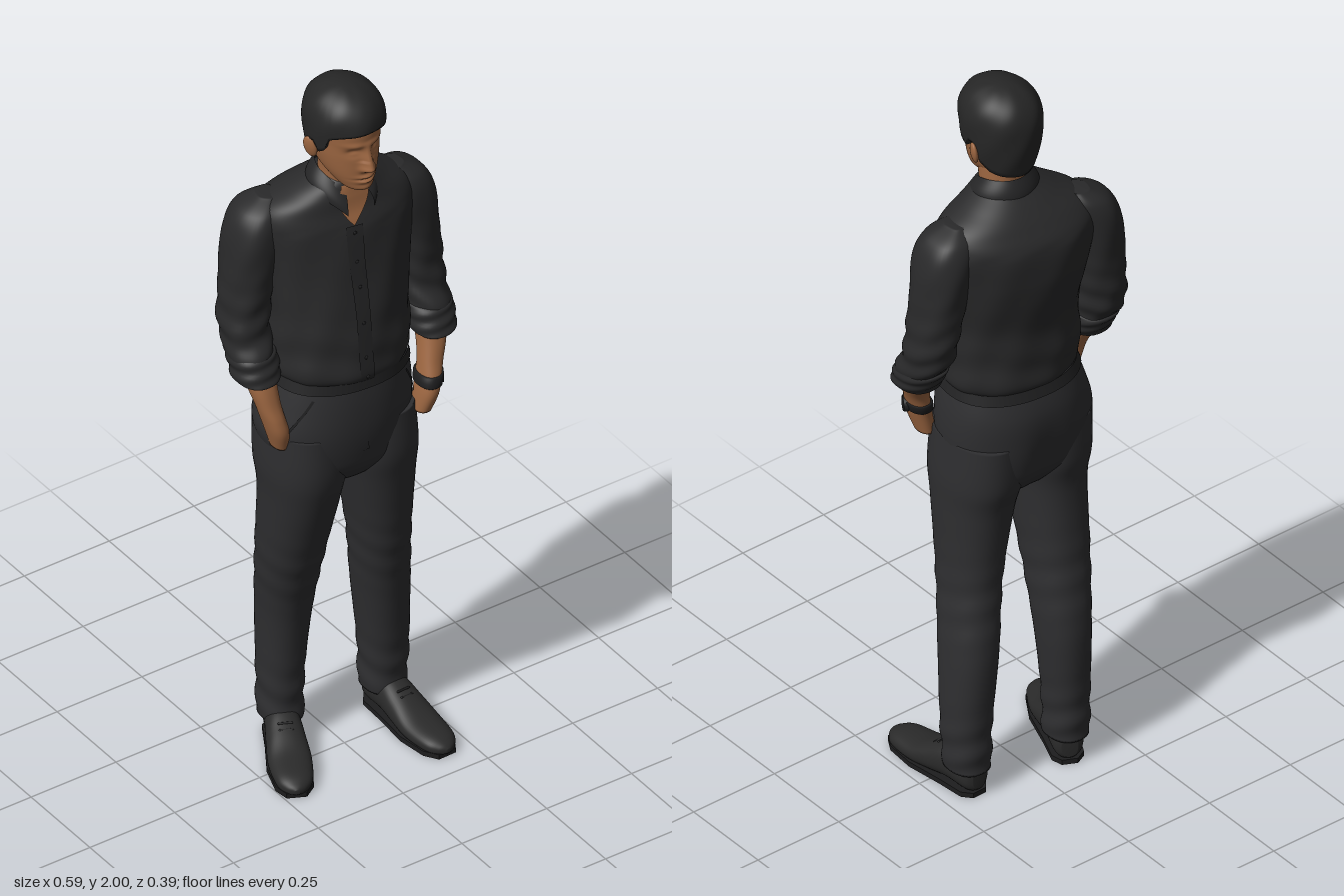
import * as THREE from 'three';

const mat = (name, color, side = THREE.FrontSide) => {
  const m = new THREE.MeshStandardMaterial({ color, side });
  m.name = name;
  return m;
};

// Smooth surface from a rule fn(u, v); u runs around, v runs up.
function grid(fn, nu, nv, wrap) {
  const pos = [], idx = [], cols = wrap ? nu : nu + 1;
  for (let j = 0; j <= nv; j++)
    for (let i = 0; i < cols; i++) pos.push(...fn(i / nu, j / nv, j));
  for (let j = 0; j < nv; j++)
    for (let i = 0; i < nu; i++) {
      const a = j * cols + i, b = j * cols + ((i + 1) % cols), c = a + cols, d = b + cols;
      idx.push(a, c, b, b, c, d);
    }
  const g = new THREE.BufferGeometry();
  g.setAttribute('position', new THREE.Float32BufferAttribute(pos, 3));
  g.setIndex(idx);
  g.computeVertexNormals();
  return g;
}

// Cross-section keys are [y, cx, cz, rx, rz, yaw]; t counts in keys.
function sample(keys, t) {
  const i = Math.min(Math.floor(t), keys.length - 2), f = t - i;
  const k = n => keys[Math.max(0, Math.min(keys.length - 1, n))];
  return [0, 1, 2, 3, 4, 5].map(c => {
    const [p, q, r, s] = [i - 1, i, i + 1, i + 2].map(n => k(n)[c] || 0);
    return q + 0.5 * f * (r - p + f * (2 * p - 5 * q + 4 * r - s + f * (3 * (q - r) + s - p)));
  });
}

function point(keys, t, a, off = 0, scale = 1, n = 2.25) {
  const [y, cx, cz, rx, rz, yaw] = sample(keys, t);
  const e = v => Math.sign(v) * Math.abs(v) ** (2 / n);
  const x = (rx + off) * e(Math.cos(a)) * scale, z = (rz + off) * e(Math.sin(a)) * scale;
  return [cx + x * Math.cos(yaw) - z * Math.sin(yaw), y, cz + x * Math.sin(yaw) + z * Math.cos(yaw)];
}

// Closed body through the keys, with optional folds(y, angle) and sculpt(point).
function loft(keys, { nu = 40, per = 6, folds = () => 0, sculpt = p => p, n } = {}) {
  const nv = (keys.length - 1) * per + 2;
  return grid((u, v, j) => {
    const t = Math.max(0, Math.min(j - 1, nv - 2)) / per, a = u * Math.PI * 2;
    const off = folds(sample(keys, t)[0], a);
    return sculpt(point(keys, t, a, off, j === 0 || j === nv ? 0 : 1, n));
  }, nu, nv, true);
}

// Thin plate lying on a lofted body, angles given as a function of v.
const patch = (keys, t0, t1, a0, a1, off, nu = 6, nv = 30) => grid((u, v) =>
  point(keys, t0 + (t1 - t0) * v, a0(v) + (a1(v) - a0(v)) * u, off), nu, nv, false);

const bump = (d, w) => Math.exp(-(d * d) / (w * w));
const FRONT = Math.PI / 2;

export function createModel() {
  const root = new THREE.Group();
  const skin = mat('skin', 0x9c6641), shirt = mat('shirt black', 0x29292a), hair = mat('hair black', 0x262626);
  const trousers = mat('trouser charcoal', 0x2e2e30), shoe = mat('shoe black', 0x2a2a2a);
  const trim = mat('trim black', 0x1d1d1e), fold = mat('shirt fold', 0x252526, THREE.DoubleSide);
  const add = (name, geo, material, parent = root) => {
    const m = new THREE.Mesh(geo, material);
    m.name = name;
    parent.add(m);
    return m;
  };

  // Shirt body
  const body = [
    [1.165, -.005, -.02, .165, .132, .08], [1.19, -.005, -.02, .178, .143, .08], [1.25, -.005, -.022, .18, .14, .1],
    [1.35, -.003, -.026, .178, .135, .12], [1.45, 0, -.042, .188, .137, .15], [1.52, 0, -.05, .197, .137, .17],
    [1.6, 0, -.054, .208, .13, .17], [1.65, 0, -.048, .19, .108, .15], [1.69, 0, -.034, .125, .088, .1],
    [1.72, 0, -.02, .075, .068, .06], [1.735, 0, -.018, .055, .055, .05]];
  const shirtFolds = (y, a) => y > 1.6 ? 0 :
    .003 * Math.sin(y * 55 + 2 * Math.sin(a * 2)) * bump(y - 1.24, .1) + .0015 * Math.sin(a * 9 + y * 20);
  add('shirt body', loft(body, { nu: 80, folds: shirtFolds }), shirt);
  add('button placket', patch(body, .3, 6.2, () => FRONT - .08, () => FRONT + .08, .004), fold);
  for (let i = 0; i < 6; i++) {
    const b = add('shirt button', new THREE.SphereGeometry(.005, 10, 8), trim);
    b.position.set(...point(body, .9 + i, FRONT, .004));
    b.scale.z = .5;
  }

  // Open neckline and collar
  const vee = v => .42 * v;
  add('open neckline', patch(body, 6.2, 9, v => FRONT - vee(v), v => FRONT + vee(v), .004), skin);
  add('neck', loft([[1.62, 0, -.03, .06, .06], [1.69, 0, -.018, .058, .06], [1.74, 0, -.01, .056, .06],
    [1.8, -.003, -.005, .058, .07]]), skin);
  add('collar', grid((u, v) => {
    const s = u * 2 - 1, a = s * Math.PI * .86, f = Math.abs(s) ** 3;
    const flare = Math.sin(Math.min(1, (1 - v) * 1.1) * Math.PI / 2);
    const rx = .063 + .027 * flare, rz = .066 + (.018 + .012 * f) * flare;
    const top = 1.757 - .052 * f, low = 1.7 - .055 * Math.abs(s) ** 5;
    return [-Math.sin(a) * rx, low + (top - low) * v, -.014 - Math.cos(a) * rz];
  }, 60, 8, false), fold);

  // Arms: sleeve, rolled cuff, forearm and hand tucked in the pocket
  const arm = (s, dz, dx, label) => {
    const g = new THREE.Group();
    g.name = label + 'Arm';
    root.add(g);
    const place = keys => keys.map(([y, x, z, rx, rz]) =>
      [y, s * (x + dx * Math.max(0, Math.min(1, (1.22 - y) / .12))), z + dz, rx, rz]);
    const sleeve = place([[1.19, .232, .036, .05, .056], [1.25, .236, .008, .056, .064], [1.32, .235, -.022, .058, .068],
      [1.45, .22, -.03, .062, .074], [1.57, .203, -.03, .066, .08], [1.635, .185, -.03, .056, .066], [1.668, .16, -.03, .025, .03]]);
    add('sleeve', loft(sleeve, { per: 10, folds: (y, a) => .0035 * Math.sin(y * 85 + 2.5 * Math.sin(a + s)) *
      bump(y - 1.3, .12) + .001 * Math.sin(a * 5 + y * 30) }), shirt, g);
    add('rolled cuff', loft(place([[1.183, .23, .04, .046, .052], [1.19, .232, .036, .056, .061],
      [1.22, .235, .022, .059, .065], [1.25, .236, .008, .06, .067], [1.258, .236, .004, .052, .06]]),
    { folds: (y, a) => .002 * Math.sin(y * 200 + a * 2) }), shirt, g);
    const fore = place([[.99, .17, .08, .022, .03], [1.04, .182, .085, .026, .038], [1.08, .192, .08, .027, .038],
      [1.12, .204, .07, .03, .034], [1.17, .22, .05, .036, .038], [1.23, .23, .02, .04, .042]]);
    add('forearm and hand', loft(fore), skin, g);
    if (s > 0) {
      add('watch strap', loft([[1.062, .188, .083, .026, .037], [1.064, .188, .083, .031, .042],
        [1.088, .194, .078, .032, .042], [1.09, .194, .078, .026, .036]], { per: 2 }), trim, g);
      const dial = add('watch face', new THREE.CylinderGeometry(.019, .021, .012, 24), trim, g);
      dial.rotation.set(0, -.5, -Math.PI / 2);
      dial.position.set(.218, 1.076, .096);
    }
  };
  arm(1, 0, 0, 'left');
  arm(-1, -.07, .027, 'right');

  // Trousers
  const hips = [[.85, -.005, -.025, .1, .09], [.9, -.01, -.026, .17, .128], [.95, -.015, -.027, .19, .142],
    [1.02, -.018, -.028, .202, .151, .05], [1.1, -.01, -.027, .19, .15, .06], [1.18, -.005, -.02, .168, .136, .08]];
  add('trouser hips', loft(hips, { nu: 64, folds: (y, a) => -.012 * bump(a - 1.5 * Math.PI, .2) * bump(y - .95, .1) }), trousers);
  add('belt', patch(hips, 4.55, 4.95, () => 0, () => -Math.PI * 2, .005, 64, 4), mat('belt black', 0x222223, THREE.DoubleSide));
  add('fly seam', patch(hips, 2.2, 4.5, () => FRONT - .03, () => FRONT + .03, .002), trousers);
  for (const s of [-1, 1])
    add('pocket edge', patch(hips, 2.5, 4.4, v => FRONT - s * (1.25 - .5 * v) - .025, v => FRONT - s * (1.25 - .5 * v) + .025, .003), trim);
  const legs = {
    right: [[.07, -.107, -.12, .054, .06], [.2, -.105, -.122, .056, .062], [.4, -.1, -.115, .066, .075],
      [.6, -.11, -.072, .08, .09], [.8, -.112, -.032, .092, .112], [.9, -.112, -.028, .102, .13], [1.02, -.112, -.03, .1, .13]],
    left: [[.07, .166, -.08, .055, .06], [.2, .165, -.075, .06, .065], [.4, .148, -.062, .067, .08],
      [.6, .12, -.03, .072, .09], [.8, .1, -.018, .09, .112], [.9, .092, -.02, .1, .132], [1.02, .088, -.024, .095, .132]]
  };
  for (const [side, keys] of Object.entries(legs))
    add(side + 'TrouserLeg', loft(keys, { per: 12, folds: (y, a) =>
      .003 * Math.sin(y * 75 + 2 * Math.sin(a)) * (bump(y - .13, .09) + .6 * bump(y - .55, .1)) }), trousers);

  // Shoes: upper, sole, heel and laces, built along the foot
  const makeShoe = (name, x, z, yaw) => {
    const g = new THREE.Group();
    g.name = name;
    g.position.set(x, 0, z);
    g.rotation.y = yaw;
    root.add(g);
    const upper = loft([[0, 0, -.05, .02, .03], [.02, 0, -.055, .038, .045], [.09, 0, -.06, .044, .05],
      [.15, 0, -.045, .05, .042], [.21, 0, -.03, .054, .03], [.28, 0, -.024, .045, .024],
      [.31, 0, -.02, .026, .016], [.322, 0, -.02, .006, .006]],
    { sculpt: ([px, py, pz]) => [px, py, Math.min(pz, -.012)] });
    add('shoe upper', upper.rotateX(Math.PI / 2), shoe, g);
    const outline = new THREE.Shape([[.02, .0], [.04, -.025], [.045, -.1], [.056, -.2], [.047, -.28], [.025, -.315],
      [-.025, -.315], [-.047, -.28], [-.056, -.2], [-.045, -.1], [-.04, -.025], [-.02, .0]].map(p => new THREE.Vector2(...p)));
    const sole = new THREE.ExtrudeGeometry(outline, { depth: .014, bevelEnabled: false });
    add('shoe sole', sole.rotateX(-Math.PI / 2), trim, g);
    for (let i = 0; i < 4; i++) {
      const lace = add('shoe lace', new THREE.CapsuleGeometry(.003, .032, 4, 8), trim, g);
      lace.rotation.z = Math.PI / 2;
      lace.position.set(0, .093 - i * .009, .135 + i * .015);
    }
  };
  makeShoe('rightShoe', -.085, -.165, -.45);
  makeShoe('leftShoe', .165, -.128, .03);

  // Head with nose, brow, eye sockets, lids and lips worked into the face
  const sculptFace = ([x, y, z]) => {
    if (z < .03) return [x, y, z];
    const ax = Math.abs(x + .004), dn = y - 1.802;
    let d = .027 * bump(ax, dn > .02 ? .011 : .015) * (dn > 0 ? Math.max(0, 1 - dn / .075) : bump(dn, .011));
    d += .006 * bump(ax - .014, .008) * bump(y - 1.798, .009);
    d += -.011 * bump(ax - .031, .017) * bump(y - 1.846, .011) + .005 * bump(ax - .031, .012) * bump(y - 1.843, .006);
    d += .005 * bump(ax - .03, .025) * bump(y - 1.868, .008);
    d += .008 * bump(ax, .022) * (bump(y - 1.772, .006) + bump(y - 1.758, .006)) - .005 * bump(ax, .026) * bump(y - 1.765, .003);
    d += .004 * bump(ax, .02) * bump(y - 1.738, .01);
    return [x, y, z + d];
  };
  add('head', loft([[1.722, -.004, .05, .018, .028], [1.731, -.004, .05, .036, .048], [1.75, -.004, .034, .051, .068],
    [1.78, -.004, .014, .066, .09], [1.82, -.004, .003, .076, .101], [1.86, -.004, 0, .08, .104],
    [1.9, -.004, 0, .083, .104], [1.95, -.004, 0, .075, .09], [1.98, -.004, 0, .045, .055]],
  { nu: 112, per: 12, n: 2.1, sculpt: sculptFace }), skin);
  for (const s of [-1, 1]) {
    const ear = add(s > 0 ? 'leftEar' : 'rightEar', new THREE.SphereGeometry(1, 20, 16), skin);
    ear.scale.set(.009, .031, .019);
    ear.position.set(-.004 + s * .091, 1.832, -.008);
    ear.rotation.set(-.15, s * -.35, s * -.2);
  }

  // Hair: a cap whose lower edge follows fringe, sideburns and nape
  const edgeLine = [[-1, 1.768], [-.5, 1.785], [-.25, 1.81], [-.1, 1.86], [.08, 1.862], [.2, 1.835], [.38, 1.85],
    [.5, 1.888], [.75, 1.9], [1, 1.908]];
  const edge = d => {
    const i = Math.max(1, edgeLine.findIndex(e => e[0] >= d - 1e-6));
    const [d0, y0] = edgeLine[i - 1], [d1, y1] = edgeLine[i];
    return y0 + (y1 - y0) * (d - d0) / (d1 - d0);
  };
  add('hair', grid((u, v, j) => {
    const a = u * Math.PI * 2, c = Math.cos(a), s = Math.sin(a), low = edge(s);
    const q = 1 - Math.max(0, j - 1) / 31;
    const y = low + (2 - low) * (1 - q * q);
    const h = (y - 1.9) / .1;
    let r = h > 0 ? Math.sqrt(Math.max(0, 1 - h ** 2.4)) : 1 - .11 * h * h;
    r += r > .3 ? .008 * Math.sin(a * 7 + y * 50) : 0;
    if (j === 0) r *= .8;
    return [-.004 + .097 * r * c, y, .003 + (s > 0 ? .116 : .113) * r * s];
  }, 96, 32, true), mat('hair cap black', hair.color.getHex(), THREE.DoubleSide));

  return root;
}
